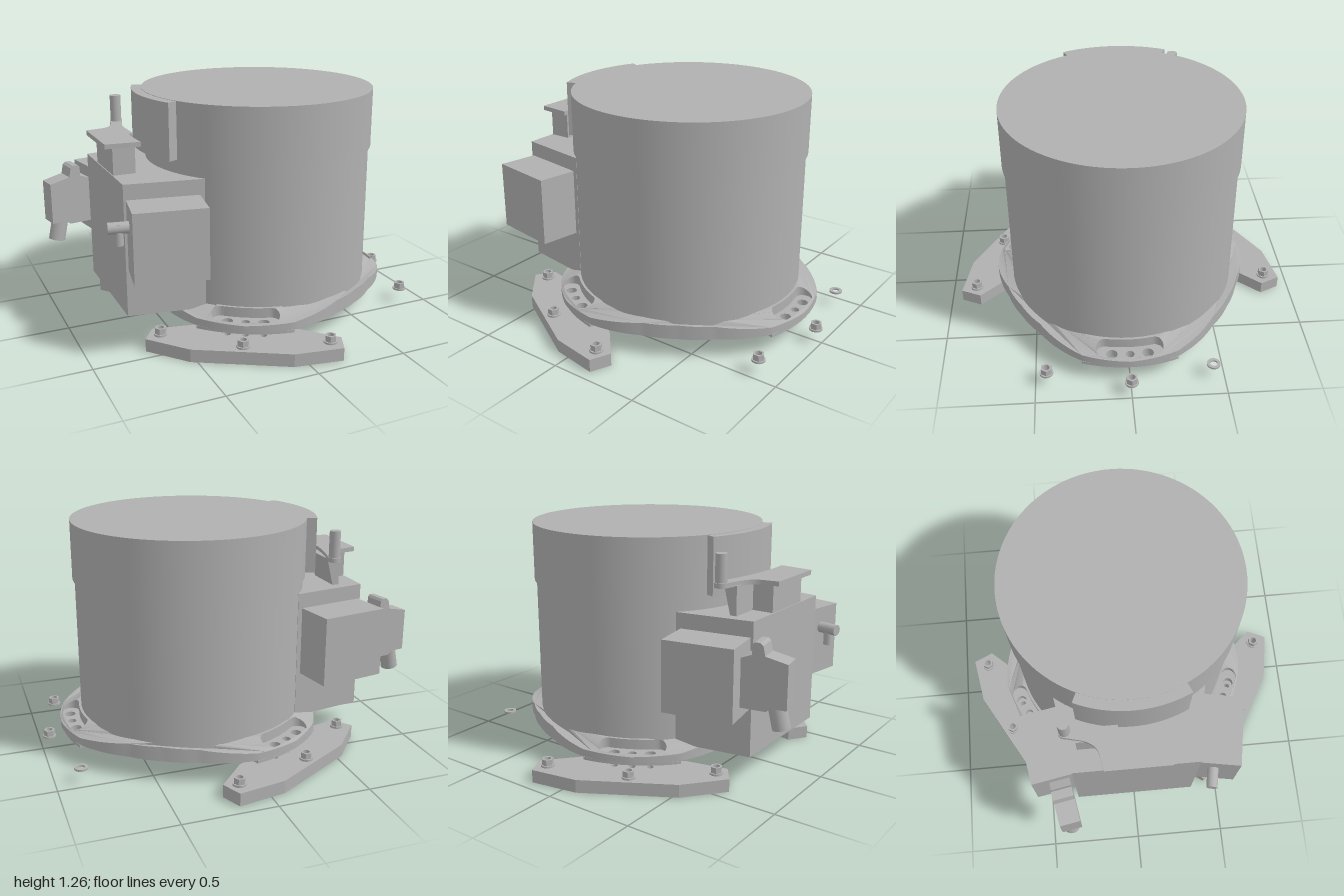
import * as THREE from 'three';
import { toCreasedNormals } from 'three/addons/utils/BufferGeometryUtils.js';

const CX = 0.135; // centre of the drum on x
const rad = THREE.MathUtils.degToRad;
const metal = new THREE.MeshStandardMaterial({ color: 0xb0b0b0 });
metal.name = 'grey metal';

function add(parent, name, geometry, x = 0, y = 0, z = 0) {
  const mesh = new THREE.Mesh(geometry, metal);
  mesh.name = name;
  mesh.position.set(x, y, z);
  parent.add(mesh);
  return mesh;
}

const polygon = pts => new THREE.Shape(pts.map(p => new THREE.Vector2(p[0], p[1])));

function hole(x, z, r) {
  const p = new THREE.Path();
  p.absarc(x, z, r, 0, Math.PI * 2);
  return p;
}

// Plan shape (x, z) raised from y0 to y1
function slab(shape, y0, y1) {
  const g = new THREE.ExtrudeGeometry(shape, { depth: y1 - y0, bevelEnabled: false, curveSegments: 16 });
  return g.rotateX(Math.PI / 2).translate(0, y1, 0);
}

// Radius of the three-lobed flange at an angle in degrees
function flangeRadius(deg) {
  const m = ((deg % 120) + 120) % 120;
  const d = Math.min(m, 120 - m);
  if (d < 20) return 0.755 - 0.013 * d / 20;
  if (d < 44) return THREE.MathUtils.lerp(0.742, 0.675, (d - 20) / 24);
  return THREE.MathUtils.lerp(0.675, 0.665, (d - 44) / 16);
}

function flangeOutline() {
  const pts = [];
  for (let i = 0; i < 180; i++) {
    const r = flangeRadius(i * 2), a = rad(i * 2);
    pts.push([r * Math.cos(a), r * Math.sin(a)]);
  }
  return polygon(pts);
}

// Rounded slot that follows the drum, used for the pockets
function arcSlot(mid, r, half, spread) {
  const p = new THREE.Path(), a0 = mid - spread, a1 = mid + spread;
  p.absarc(0, 0, r + half, a0, a1, false);
  p.absarc(r * Math.cos(a1), r * Math.sin(a1), half, a1, a1 + Math.PI, false);
  p.absarc(0, 0, r - half, a1, a0, true);
  p.absarc(r * Math.cos(a0), r * Math.sin(a0), half, a0 + Math.PI, a0 + Math.PI * 2, false);
  return p;
}

// Three holes of a mounting lobe, as radius from the drum, offset, size
const lobeHoles = [[0.69, -0.095, 0.03], [0.695, 0, 0.023], [0.69, 0.095, 0.03]];
const boltSpots = [[0.73, -0.44], [0.825, 0], [0.73, 0.44]];

function ring(outer, inner, y0, y1, sides) {
  const s = new THREE.Shape();
  for (let i = 0; i < sides; i++) {
    const a = i / sides * Math.PI * 2;
    s[i ? 'lineTo' : 'moveTo'](outer * Math.cos(a), outer * Math.sin(a));
  }
  s.holes.push(hole(0, 0, inner));
  return slab(s, y0, y1);
}

function addNut(parent, x, z) {
  const nut = new THREE.Group();
  nut.name = 'nut';
  nut.position.set(x, 0.07, z);
  add(nut, 'nutCollar', ring(0.036, 0.018, 0, 0.01, 20));
  add(nut, 'nutHex', ring(0.031, 0.018, 0.01, 0.042, 6));
  parent.add(nut);
}

function addFlange(parent) {
  const lower = flangeOutline(), upper = flangeOutline();
  upper.holes.push(hole(0, 0, 0.61));
  for (let k = 0; k < 3; k++) {
    const a = rad(120 * k), c = Math.cos(a), s = Math.sin(a);
    for (const [r, t, size] of lobeHoles) lower.holes.push(hole(r * c - t * s, r * s + t * c, size));
    upper.holes.push(arcSlot(a, 0.69, 0.046, rad(11)));
  }
  add(parent, 'flangeSlab', toCreasedNormals(slab(lower, 0.115, 0.145), 0.4), CX);
  // The upper layer slopes down towards the lobes
  const g = slab(upper, 0.145, 0.2), pos = g.attributes.position;
  for (let i = 0; i < pos.count; i++) {
    if (pos.getY(i) < 0.19) continue;
    const r = Math.hypot(pos.getX(i), pos.getZ(i));
    pos.setY(i, 0.2 - 0.05 * THREE.MathUtils.clamp((r - 0.655) / 0.1, 0, 1));
  }
  g.computeVertexNormals();
  add(parent, 'flangeCollar', toCreasedNormals(g, 0.4), CX);
}

function addLobe(parent, k) {
  const lobe = new THREE.Group();
  lobe.name = 'mountingLobe';
  lobe.position.x = CX;
  lobe.rotation.y = -rad(120 * k);
  parent.add(lobe);
  // Thin pad under the flange
  const pad = new THREE.Shape();
  pad.absarc(0, 0, 0.745, -rad(20), rad(20), false);
  pad.quadraticCurveTo(0.56, 0.23, 0.55, 0.12);
  pad.lineTo(0.55, -0.12);
  pad.quadraticCurveTo(0.56, -0.23, 0.70, -0.255);
  for (const h of lobeHoles) pad.holes.push(hole(...h));
  add(lobe, 'lobePad', slab(pad, 0.1, 0.116));
  if (k > 0) {
    const foot = polygon([[0.6, -0.28], [0.671, -0.497], [0.79, -0.509], [0.88, -0.262],
      [0.88, 0.262], [0.79, 0.509], [0.671, 0.497], [0.6, 0.28]]);
    for (const [r, t] of lobeHoles) foot.holes.push(hole(r, t, 0.017));
    for (const [r, t] of boltSpots) foot.holes.push(hole(r, t, 0.018));
    add(lobe, 'footPlate', slab(foot, 0, 0.07));
  }
  boltSpots.forEach(([r, t], i) => {
    if (k === 0 && i === 0) add(lobe, 'washer', ring(0.036, 0.02, 0.075, 0.085, 24), r, 0, t);
    else addNut(lobe, r, t);
  });
}

function addSideBox(parent, side) {
  const box = new THREE.Group();
  box.name = side < 0 ? 'backSideBox' : 'frontSideBox';
  box.position.set(-0.58, 0.612, 0.477 * side);
  box.rotation.y = -side * rad(10);
  parent.add(box);
  add(box, 'sideBoxBody', new THREE.BoxGeometry(0.377, 0.375, 0.22));
  if (side < 0) {
    // Plug housing with latch and slanted cable
    const plug = polygon([[-0.18, -0.13], [-0.32, -0.13], [-0.345, -0.11], [-0.425, -0.11], [-0.425, 0.12],
      [-0.31, 0.145], [-0.30, 0.195], [-0.285, 0.208], [-0.255, 0.208], [-0.245, 0.195], [-0.245, 0.145], [-0.18, 0.12]]);
    const g = new THREE.ExtrudeGeometry(plug, { depth: 0.11, bevelEnabled: false });
    add(box, 'plugHousing', g, 0, 0, -0.02);
    add(box, 'plugCable', new THREE.CylinderGeometry(0.046, 0.046, 0.14, 24), -0.37, -0.155, 0.035).rotation.z = -0.22;
  } else {
    // Small T-shaped fitting
    add(box, 'fittingStem', new THREE.CylinderGeometry(0.03, 0.03, 0.12, 24), -0.235, 0.075, -0.03).rotation.z = Math.PI / 2;
    add(box, 'fittingPipe', new THREE.CylinderGeometry(0.024, 0.024, 0.11, 24), -0.24, 0.04, -0.03);
  }
}

function addLatch(parent) {
  // Curved cover plate on the cap
  const cover = new THREE.Shape();
  cover.absarc(0, 0, 0.697, rad(155), rad(205), false);
  cover.absarc(0, 0, 0.63, rad(205), rad(155), true);
  add(parent, 'capCover', toCreasedNormals(slab(cover, 0.96, 1.263), 0.5), CX);
  // Shelf, its supports and the pin
  const shelf = polygon([[-0.8, -0.17], [-0.71, -0.185]]);
  shelf.quadraticCurveTo(-0.65, -0.2, -0.63, -0.29);
  shelf.lineTo(-0.615, -0.35);
  shelf.absarc(-0.58, -0.35, 0.035, Math.PI, Math.PI * 2, false);
  shelf.quadraticCurveTo(-0.64, -0.08, -0.615, 0.2);
  shelf.lineTo(-0.8, 0.18);
  add(parent, 'shelf', slab(shelf, 1.03, 1.055));
  add(parent, 'shelfBlock', new THREE.BoxGeometry(0.12, 0.16, 0.3), -0.695, 0.955, 0.01);
  const web = polygon([[-0.64, 0.88], [-0.605, 0.88], [-0.565, 1.035], [-0.64, 1.035]]);
  add(parent, 'shelfWeb', new THREE.ExtrudeGeometry(web, { depth: 0.22, bevelEnabled: false }), 0, 0, -0.3);
  add(parent, 'pin', new THREE.CylinderGeometry(0.03, 0.03, 0.17, 24), -0.58, 1.115, -0.35);
}

export function createModel() {
  const model = new THREE.Group();
  model.name = 'drumUnit';
  add(model, 'drumBody', new THREE.CylinderGeometry(0.63, 0.63, 0.8, 96), CX, 0.545, 0);
  add(model, 'drumCap', new THREE.CylinderGeometry(0.642, 0.642, 0.322, 96), CX, 1.104, 0);
  addFlange(model);
  for (let k = 0; k < 3; k++) addLobe(model, k);
  // Housing that flares towards the drum
  const housing = polygon([[-0.76, -0.335], [-0.35, -0.405], [-0.35, 0.405], [-0.76, 0.335]]);
  add(model, 'housing', slab(housing, 0.17, 0.882));
  addSideBox(model, -1);
  addSideBox(model, 1);
  addLatch(model);
  return model;
}
